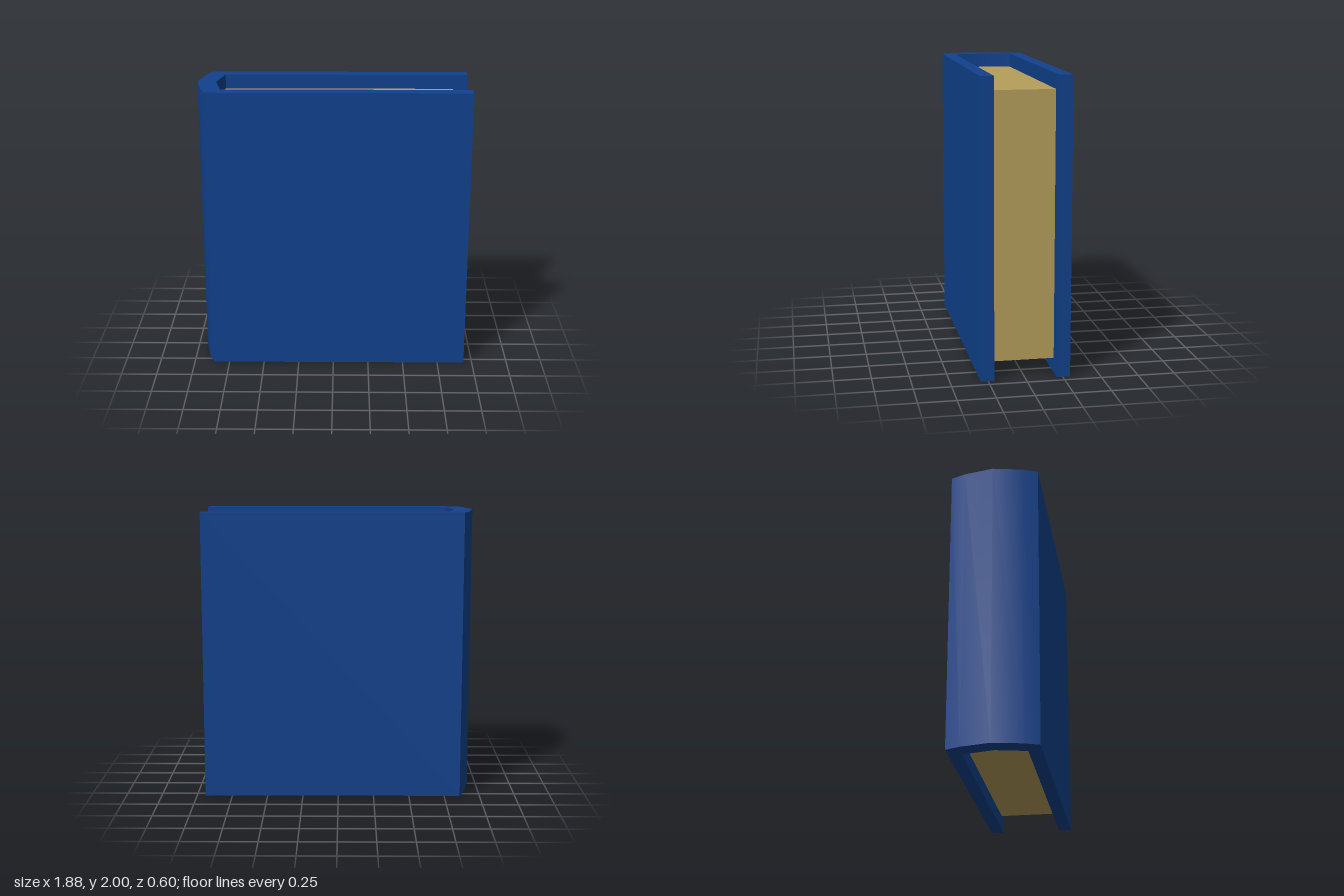
import * as THREE from 'three';
import { toCreasedNormals } from 'three/addons/utils/BufferGeometryUtils.js';

// Extrude an outline drawn in the x/z plane upwards from y = bottom
function upright(name, outline, bottom, height, color) {
  const shape = new THREE.Shape(outline.map(([x, z]) => new THREE.Vector2(x, -z)));
  const geometry = new THREE.ExtrudeGeometry(shape, { depth: height, bevelEnabled: false });
  geometry.rotateX(-Math.PI / 2).translate(0, bottom, 0);
  const mesh = new THREE.Mesh(
    toCreasedNormals(geometry, 0.6),
    new THREE.MeshStandardMaterial({ color })
  );
  mesh.name = name;
  return mesh;
}

// Complete a half outline (z >= 0, ending on z = 0) with its mirror image
const mirrored = (half) => [
  ...half,
  ...half.slice(0, -1).reverse().map(([x, z]) => [x, -z]),
];

export function createModel() {
  const book = new THREE.Group();
  book.name = 'book';

  // Inner face of the spine, shared by the cover and the pages
  const innerSpine = [[-0.765, 0.21], [-0.81, 0]];

  // Cover: two boards joined by a rounded spine
  const outer = mirrored([[0.94, 0.3], [-0.86, 0.3], [-0.9, 0.2], [-0.94, 0]]);
  const inner = mirrored([[0.94, 0.21], ...innerSpine]).reverse();
  book.add(upright('cover', [...outer, ...inner], 0, 2, 0x10418c));

  // Page block, set back from the edges of the cover
  book.add(upright('pages', mirrored([[0.84, 0.21], ...innerSpine]), 0.1, 1.8, 0xb59f5b));

  return book;
}
